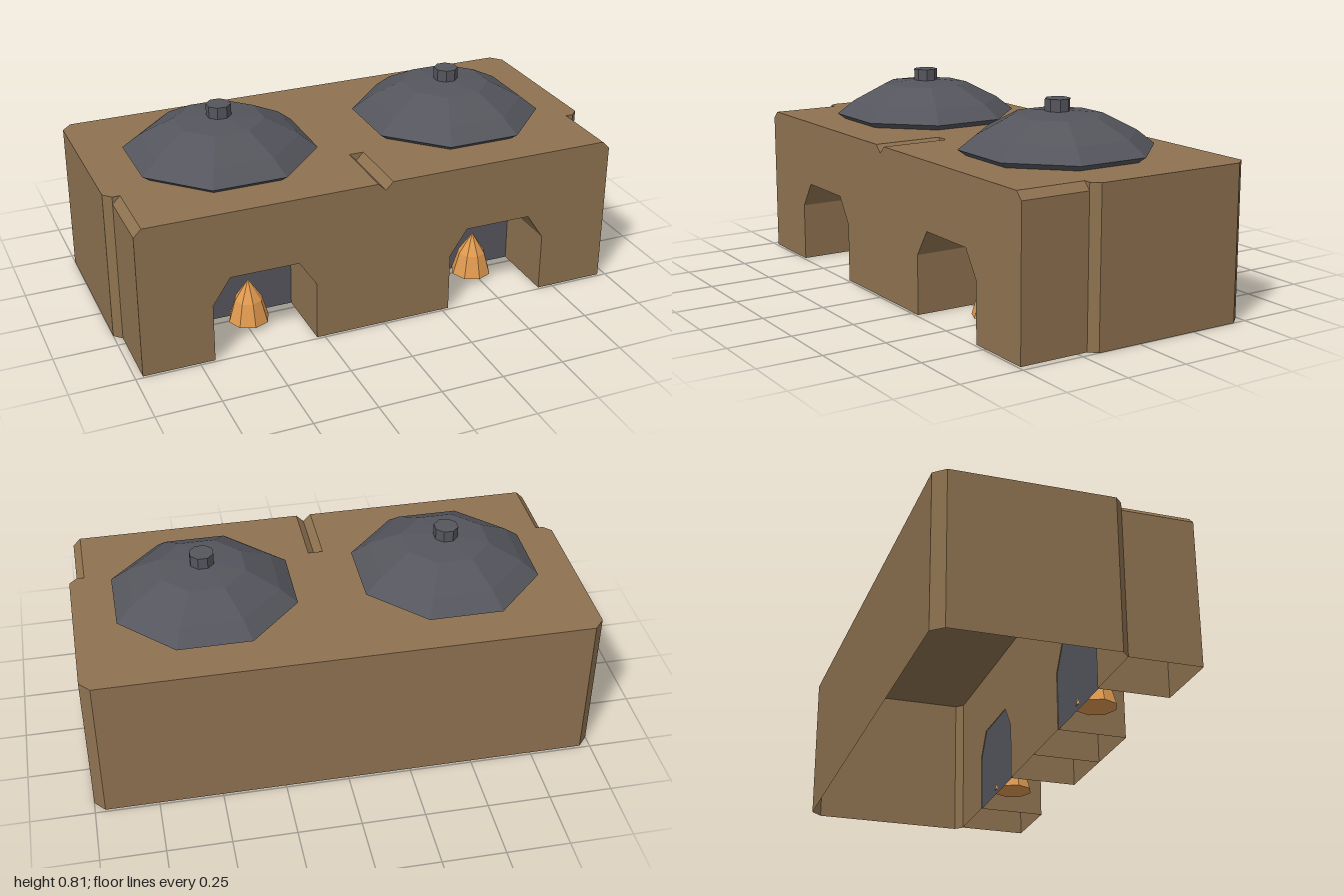
import * as THREE from 'three';

const TOP = 0.607, FRONT = 0.49, STEP = 0.21, CENTRE = 0.485;

// Outline of one hearth opening, from its outer foot to its inner foot
const ARCH = [[0.69, 0], [0.69, 0.235], [0.62, 0.34], [0.35, 0.34], [0.28, 0.235], [0.28, 0]];

const flatShape = (pts) => new THREE.ShapeGeometry(new THREE.Shape(pts.map(([x, y]) => new THREE.Vector2(x, y))));

// Open band of flat quads: a path of 3D points swept along an offset
function sweep(path, offset) {
  const pos = [];
  for (let i = 0; i < path.length - 1; i++) {
    const a = path[i], b = path[i + 1];
    const c = b.map((v, k) => v + offset[k]), d = a.map((v, k) => v + offset[k]);
    pos.push(...a, ...b, ...c, ...a, ...c, ...d);
  }
  const geo = new THREE.BufferGeometry();
  geo.setAttribute('position', new THREE.Float32BufferAttribute(pos, 3));
  geo.computeVertexNormals();
  return geo;
}

// Faceted turned part with its flats square to the axes when turned half a side
function turned(profile, sides, turn = 0) {
  const pts = profile.map(([r, y]) => new THREE.Vector2(r, y));
  const geo = new THREE.LatheGeometry(pts, sides, turn).toNonIndexed();
  geo.computeVertexNormals();
  return geo;
}

export function createModel() {
  const model = new THREE.Group();
  model.name = 'twinHearthStove';
  const material = (name, color, extra = {}) => {
    const m = new THREE.MeshStandardMaterial({ color, ...extra });
    m.name = name;
    return m;
  };
  const clay = material('clay', 0x8e7250, { side: THREE.DoubleSide });
  const iron = material('iron', 0x55565d, { flatShading: true, side: THREE.DoubleSide });
  const flame = material('flame', 0xe09a50, { flatShading: true });

  const add = (name, geo, mat, x = 0, y = 0, z = 0) => {
    const mesh = new THREE.Mesh(geo, mat);
    mesh.name = name;
    mesh.position.set(x, y, z);
    model.add(mesh);
  };

  // Hollow main body, open underneath
  const plan = [[0.97, STEP], [1, 0.18], [1, -0.445], [0.96, -FRONT],
    [-0.96, -FRONT], [-1, -0.445], [-1, 0.18], [-0.97, STEP]];
  add('bodyWalls', sweep(plan.map(([x, z]) => [x, 0, z]), [0, TOP, 0]), clay);
  add('bodyTop', flatShape(plan.map(([x, z]) => [x, -z])).rotateX(-Math.PI / 2), clay, 0, TOP, 0);
  const mirroredArch = ARCH.map(([x, y]) => [-x, y]).reverse();
  add('bodyFrontWall', flatShape([[-0.97, 0], ...mirroredArch.slice().reverse(),
    ...ARCH.slice().reverse(), [0.97, 0], [0.97, TOP], [-0.97, TOP]]), clay, 0, 0, STEP);

  // Eight-sided lid and knob profiles, given by the distance to the flats
  const k = 1 / Math.cos(Math.PI / 8);
  const scaled = (p) => p.map(([r, y]) => [r * k, y]);
  const lid = turned(scaled([[0, 0], [0.32, 0], [0.35, 0.023], [0.285, 0.078], [0.162, 0.147], [0, 0.165]]), 8, Math.PI / 8);
  const knob = turned(scaled([[0, 0], [0.045, 0], [0.045, 0.05], [0, 0.05]]), 8, Math.PI / 8);
  const fire = turned([[0, 0.02], [0.081, 0.02], [0.055, 0.11], [0, 0.195]], 8);

  for (const [side, s] of [['left', 1], ['right', -1]]) {
    // Hollow hearth block with bevelled top edges and a tunnel for the fire
    const shell = [[0, 0], [0, TOP - 0.03], [0.03, TOP], [0.94, TOP], [0.97, TOP - 0.03], [0.97, 0]];
    const mirror = (pts) => {
      const out = pts.map(([x, y]) => [s * x, y]);
      return s < 0 ? out.reverse() : out;
    };
    const band = (pts) => sweep(mirror(pts).map(([x, y]) => [x, y, FRONT]), [0, 0, STEP - FRONT]);
    add(side + 'HearthFront', flatShape(mirror([...shell, ...ARCH])), clay, 0, 0, FRONT);
    add(side + 'HearthShell', band(shell), clay);
    add(side + 'HearthTunnel', band(ARCH), clay);
    add(side + 'HearthBack', flatShape(mirror(ARCH)), iron, 0, 0, STEP + 0.003);

    // Fire and pot lid
    add(side + 'Fire', fire, flame, s * CENTRE, 0, 0.287);
    add(side + 'Lid', lid, iron, s * CENTRE, TOP + 0.001, 0);
    add(side + 'LidKnob', knob, iron, s * CENTRE, 0.765, 0);
  }
  return model;
}
